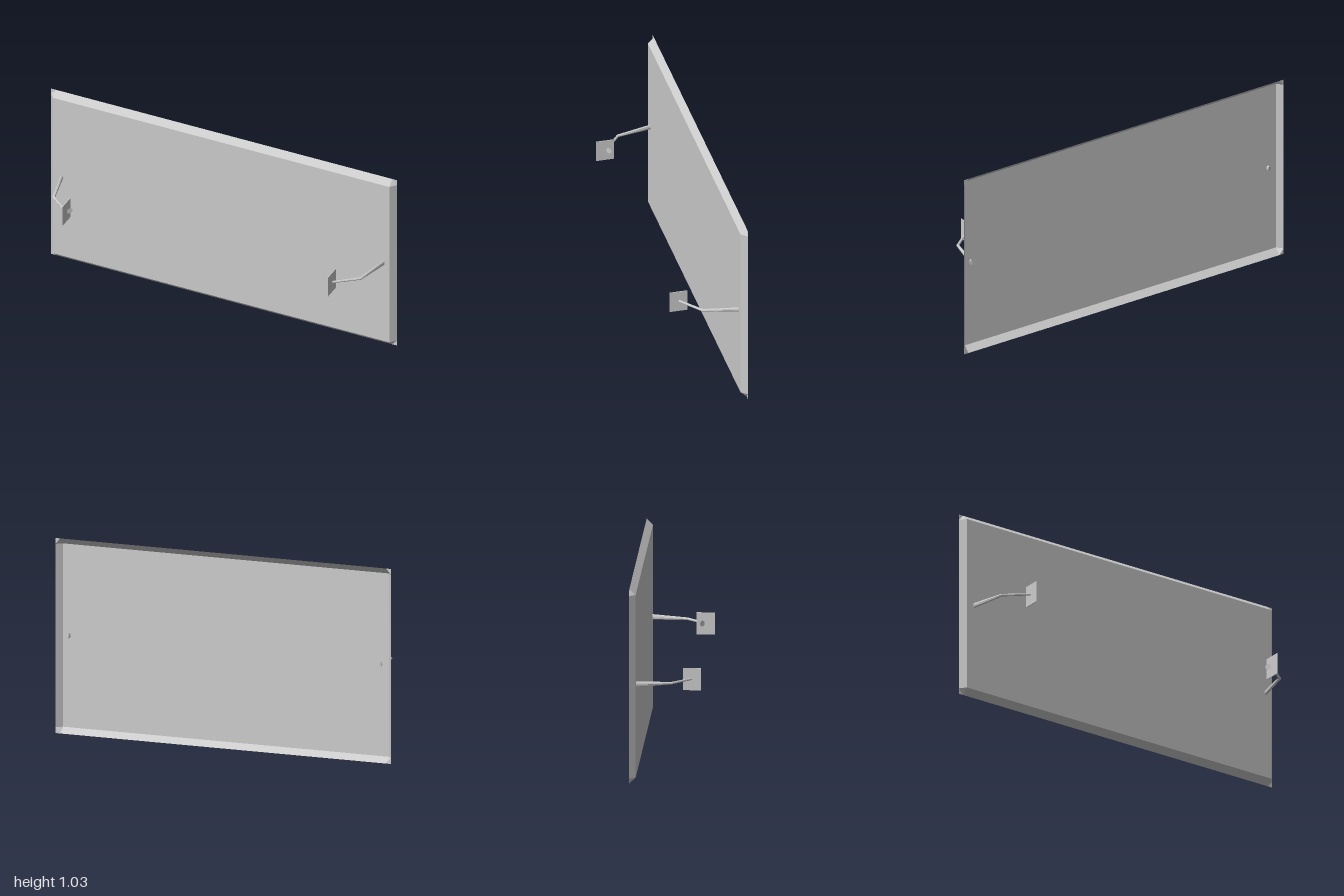
import * as THREE from 'three';

const grey = () => new THREE.MeshStandardMaterial({ color: 0xcccccc, flatShading: true, side: THREE.DoubleSide });

function addMesh(parent, name, geometry) {
  const mesh = new THREE.Mesh(geometry, grey());
  mesh.name = name;
  parent.add(mesh);
  return mesh;
}

function facesFrom(points) {
  const g = new THREE.BufferGeometry();
  g.setAttribute('position', new THREE.Float32BufferAttribute(points.flat(), 3));
  g.computeVertexNormals();
  return g;
}

// Shallow tray: flat front sheet, sloping flaps, folded corners, open back
const X = 1, XI = 0.972, H = 0.515, HI = 0.484, ZF = -0.149, ZB = -0.182;
function trayGeometry() {
  const tris = [];
  const tri = (a, b, c, flip) => tris.push(...(flip ? [a, c, b] : [a, b, c]));
  const quad = (a, b, c, d, flip) => { tri(a, b, c, flip); tri(a, c, d, flip); };
  const p = (x, y, z) => [x, y + H, z];
  quad(p(-XI, -HI, ZF), p(XI, -HI, ZF), p(XI, HI, ZF), p(-XI, HI, ZF));
  for (const s of [-1, 1]) {
    quad(p(s * XI, -HI, ZF), p(s * X, -HI, ZB), p(s * X, HI, ZB), p(s * XI, HI, ZF), s < 0);
    quad(p(-XI, s * HI, ZF), p(XI, s * HI, ZF), p(XI, s * H, ZB), p(-XI, s * H, ZB), s < 0);
    for (const t of [-1, 1]) {
      const side = p(s * X, t * HI, ZB), end = p(s * XI, t * H, ZB);
      tri(p(s * XI, t * HI, ZF), side, end, s * t < 0);
      tri(side, p(s * X, t * H, ZB), end, s * t < 0);
    }
  }
  return facesFrom(tris);
}

// Bent arm: oval sections [x, z, half width, half height] that taper to the elbow
const sections = [
  [0.932, -0.16, 0.008, 0.015],
  [0.887, 0.035, 0.008, 0.007],
  [0.768, 0.131, 0.006, 0.006],
];
function armGeometry() {
  const g = new THREE.CylinderGeometry(1, 1, 2, 8, 2);
  const pos = g.attributes.position;
  for (let i = 0; i < pos.count; i++) {
    const k = Math.round(1 - pos.getY(i));
    const [x, z, w, h] = sections[k];
    const a = sections[Math.max(0, k - 1)], b = sections[Math.min(2, k + 1)];
    const dir = new THREE.Vector2(b[0] - a[0], b[1] - a[1]).normalize();
    const u = pos.getX(i) * w, v = pos.getZ(i) * h;
    pos.setXYZ(i, x - dir.y * u, 0.516 + v, z + dir.x * u);
  }
  g.computeVertexNormals();
  return g;
}

export function createModel() {
  const model = new THREE.Group();
  addMesh(model, 'panel', trayGeometry());

  // A bent arm with a square paddle on each side
  for (const s of [-1, 1]) {
    const bracket = new THREE.Group();
    bracket.name = s > 0 ? 'leftBracket' : 'rightBracket';
    bracket.position.x = 0.007;
    bracket.scale.x = s;
    addMesh(bracket, 'arm', armGeometry());
    addMesh(bracket, 'paddle', new THREE.BoxGeometry(0.004, 0.117, 0.096)).position.set(0.768, 0.515, 0.135);
    // small tilted disc on the paddle's inner face
    const disc = addMesh(bracket, 'disc', new THREE.CircleGeometry(0.016, 12));
    disc.position.set(0.755, 0.516, 0.118);
    disc.rotation.y = -Math.PI / 4;
    model.add(bracket);
  }
  return model;
}
